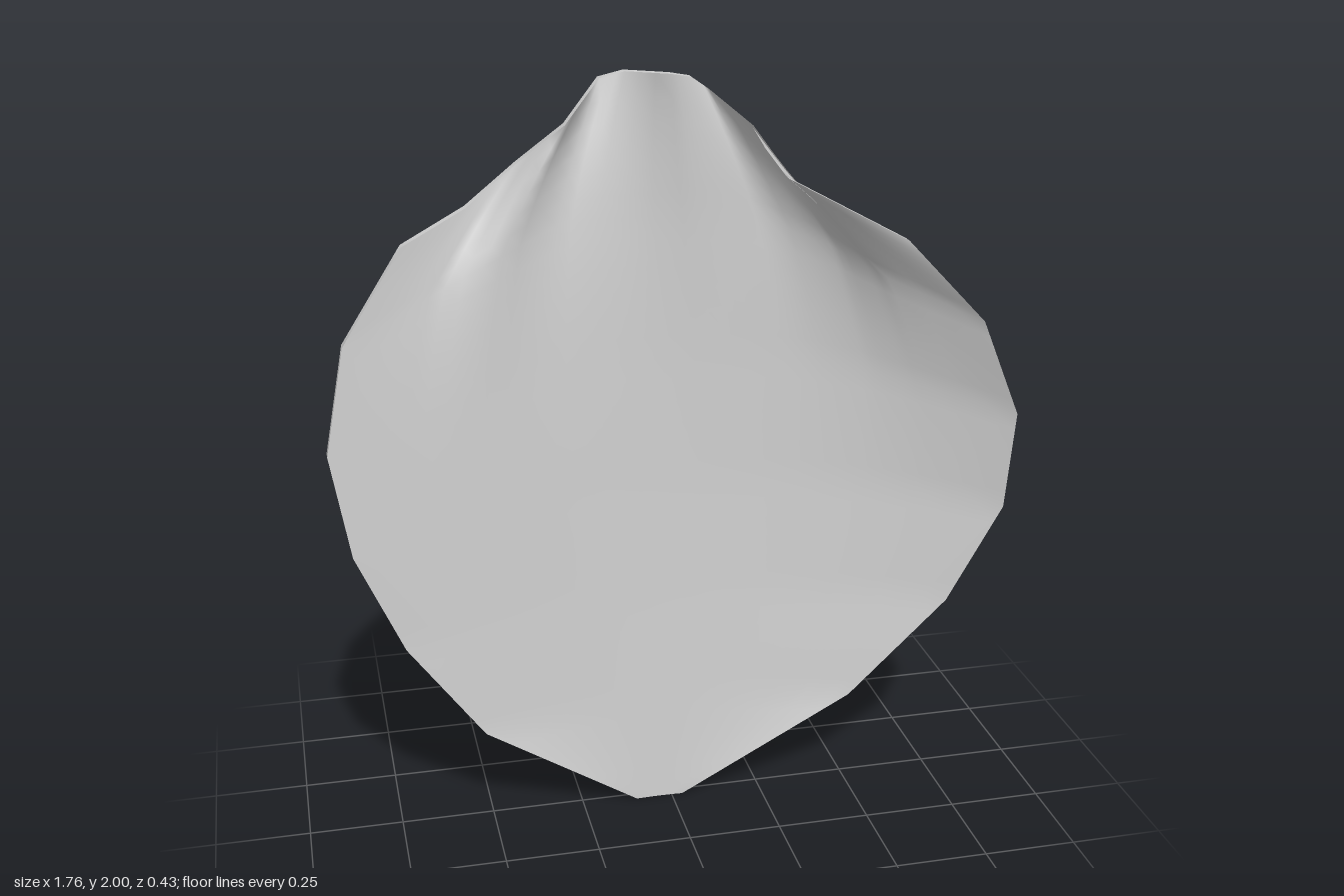
import * as THREE from 'three';

// Side outline, bottom to shoulder: y, left x, left z, right x, right z, centre z
const ROWS = [
  [0.00, -0.10, 0.012, 0.03, 0.012, 0.01],
  [0.29, -0.52, 0.065, 0.49, 0.07, -0.015],
  [0.58, -0.72, 0.10, 0.74, 0.125, -0.04],
  [0.86, -0.84, 0.12, 0.87, 0.165, -0.06],
  [1.13, -0.885, 0.11, 0.88, 0.19, -0.075],
  [1.39, -0.83, 0.06, 0.77, 0.197, -0.085],
  [1.61, -0.67, -0.02, 0.56, 0.19, -0.085],
];
// Gathered top rim: x of the fold at shoulder height, then rim x, y, z
const RIM = [
  [-0.67, -0.67, 1.61, -0.02],
  [-0.59, -0.50, 1.68, -0.10],
  [-0.50, -0.36, 1.77, -0.17],
  [-0.39, -0.25, 1.88, -0.075],
  [-0.27, -0.14, 1.97, -0.20],
  [-0.18, -0.08, 1.99, -0.17],
  [0.00, 0.01, 2.00, -0.045],
  [0.11, 0.07, 1.985, -0.08],
  [0.20, 0.12, 1.95, -0.10],
  [0.31, 0.20, 1.88, 0.03],
  [0.36, 0.22, 1.83, 0.10],
  [0.42, 0.26, 1.77, 0.15],
  [0.56, 0.56, 1.61, 0.19],
];
const THICK = 0.014;
const ROW_STEPS = 6;
const COL_STEPS = 3;

// Subdivide a table linearly
function refine(table, steps) {
  const out = [];
  for (let i = 0; i < table.length - 1; i++)
    for (let k = 0; k < steps; k++)
      out.push(table[i].map((v, j) => THREE.MathUtils.lerp(v, table[i + 1][j], k / steps)));
  out.push(table[table.length - 1]);
  return out;
}

// Middle surface: a shallow bowl whose top is gathered into folds
function middleGrid() {
  const rim = refine(RIM, COL_STEPS);
  const bowl = ([, xl, zl, xr, zr, zc], s) => {
    const q = 2 * s - 1;
    return [xl + (xr - xl) * s, zc + ((q < 0 ? zl : zr) - zc) * q * q];
  };
  const top = ROWS[ROWS.length - 1];
  return refine(ROWS, ROW_STEPS).map((row) => {
    const v = row[0] / top[0];
    return rim.map(([fx, rx, ry, rz]) => {
      const s = (fx - top[1]) / (top[3] - top[1]);
      const [x, z] = bowl(row, s);
      const [tx, tz] = bowl(top, s);
      const fold = v ** 8;
      return new THREE.Vector3(
        x + (rx - tx) * fold,
        row[0] + (ry - top[0]) * v ** 3,
        z + (rz - tz) * fold
      );
    });
  });
}

function makeGeometry(points, index) {
  const geo = new THREE.BufferGeometry().setFromPoints(points);
  geo.setIndex(index);
  geo.computeVertexNormals();
  return geo;
}

// One face of the shell, shifted in z
function sheet(grid, dz) {
  const cols = grid[0].length;
  const points = grid.flat().map((p) => new THREE.Vector3(p.x, p.y, p.z + dz));
  const index = [];
  for (let r = 0; r < grid.length - 1; r++)
    for (let c = 0; c < cols - 1; c++) {
      const a = r * cols + c, b = a + 1, d = a + cols, e = d + 1;
      if (dz > 0) index.push(a, b, d, b, e, d);
      else index.push(a, d, b, b, d, e);
    }
  return makeGeometry(points, index);
}

// Narrow strip closing the two faces around the outline
function edgeStrip(grid) {
  const last = grid[0].length - 1;
  const loop = [
    ...grid[0],
    ...grid.slice(1).map((row) => row[last]),
    ...grid[grid.length - 1].slice(0, last).reverse(),
    ...grid.slice(1, -1).map((row) => row[0]).reverse(),
  ];
  const points = [], index = [];
  loop.forEach((p, i) => {
    points.push(new THREE.Vector3(p.x, p.y, p.z + THICK), new THREE.Vector3(p.x, p.y, p.z - THICK));
    const f = 2 * i, n = 2 * ((i + 1) % loop.length);
    index.push(f, f + 1, n + 1, f, n + 1, n);
  });
  return makeGeometry(points, index);
}

export function createModel() {
  const group = new THREE.Group();
  group.name = 'petal';
  const material = new THREE.MeshStandardMaterial({ color: 0xcccccc });
  material.name = 'light grey';
  const grid = middleGrid();
  const add = (name, geometry) => {
    const mesh = new THREE.Mesh(geometry, material);
    mesh.name = name;
    group.add(mesh);
  };
  add('innerFace', sheet(grid, THICK));
  add('outerFace', sheet(grid, -THICK));
  add('edge', edgeStrip(grid));
  return group;
}
